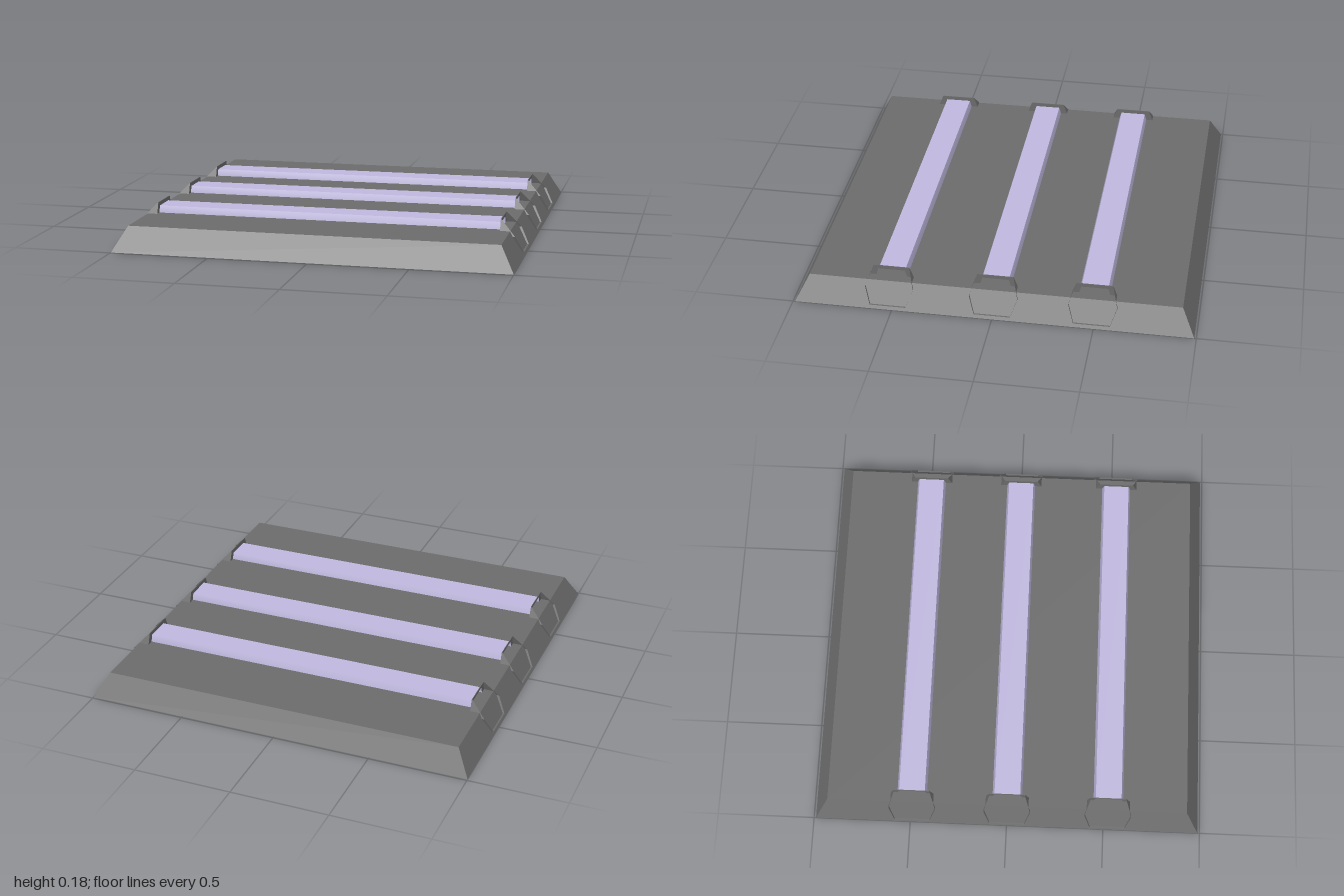
import * as THREE from 'three';
import { toCreasedNormals } from 'three/addons/utils/BufferGeometryUtils.js';

// Joins a list of closed cross-sections with quads; optionally closes the last one.
function loft(rings, closeEnd = false) {
  const pos = [];
  const tri = (...pts) => pts.forEach((p) => pos.push(...p));
  for (let r = 0; r + 1 < rings.length; r++) {
    const a = rings[r], b = rings[r + 1];
    a.forEach((p, i) => {
      const j = (i + 1) % a.length;
      tri(p, a[j], b[j]);
      tri(p, b[j], b[i]);
    });
  }
  if (closeEnd) {
    const e = rings[rings.length - 1];
    for (let i = 1; i + 1 < e.length; i++) tri(e[0], e[i], e[i + 1]);
  }
  const g = new THREE.BufferGeometry();
  g.setAttribute('position', new THREE.Float32BufferAttribute(pos, 3));
  g.computeVertexNormals();
  return g;
}

// Flattened hexagon in the y-z plane; xs gives x at the top, middle and bottom corners.
function hexRing(edge, wide, half, xs) {
  const y = 0.1;
  return [
    [xs[0], y + half, -edge], [xs[0], y + half, edge], [xs[1], y, wide],
    [xs[2], y - half, edge], [xs[2], y - half, -edge], [xs[1], y, -wide],
  ];
}

const rectRing = (x, y, z) => [[x, y, z], [x, y, -z], [-x, y, -z], [-x, y, z]];

export function createModel() {
  const model = new THREE.Group();
  model.name = 'lightPanel';
  const housing = new THREE.MeshStandardMaterial({ color: 0x6b6b6b, side: THREE.DoubleSide, flatShading: true });
  const glow = new THREE.MeshStandardMaterial({ color: 0xbfb8de, side: THREE.DoubleSide });

  // Tray with sloping sides, open underneath
  const tray = new THREE.Mesh(loft([rectRing(1, 0, 0.99), rectRing(0.93, 0.125, 0.925)], true), housing);
  tray.name = 'tray';
  model.add(tray);

  // Light tube: hexagonal, open-ended, with soft flanks
  const end = 0.88;
  const tubeRing = (x) => hexRing(0.066, 0.084, 0.06, [x, x, x]);
  const tubeGeo = toCreasedNormals(loft([tubeRing(-end), tubeRing(end)]), Math.PI / 3);

  // Socket: flange around the tube end and a hexagonal collar cut to the slope
  const socketGeo = loft([
    tubeRing(end),
    hexRing(0.09, 0.12, 0.08, [end, end, end]),
    hexRing(0.09, 0.12, 0.08, [end + 0.003, 0.957, 0.998]),
  ]);

  [-0.49, 0, 0.52].forEach((z) => {
    const row = new THREE.Group();
    row.name = 'lightRow';
    row.position.z = z;
    const tube = new THREE.Mesh(tubeGeo, glow);
    tube.name = 'lightTube';
    row.add(tube);
    [['leftSocket', 0], ['rightSocket', Math.PI]].forEach(([name, turn]) => {
      const socket = new THREE.Mesh(socketGeo, housing);
      socket.name = name;
      socket.rotation.y = turn;
      row.add(socket);
    });
    model.add(row);
  });

  return model;
}
